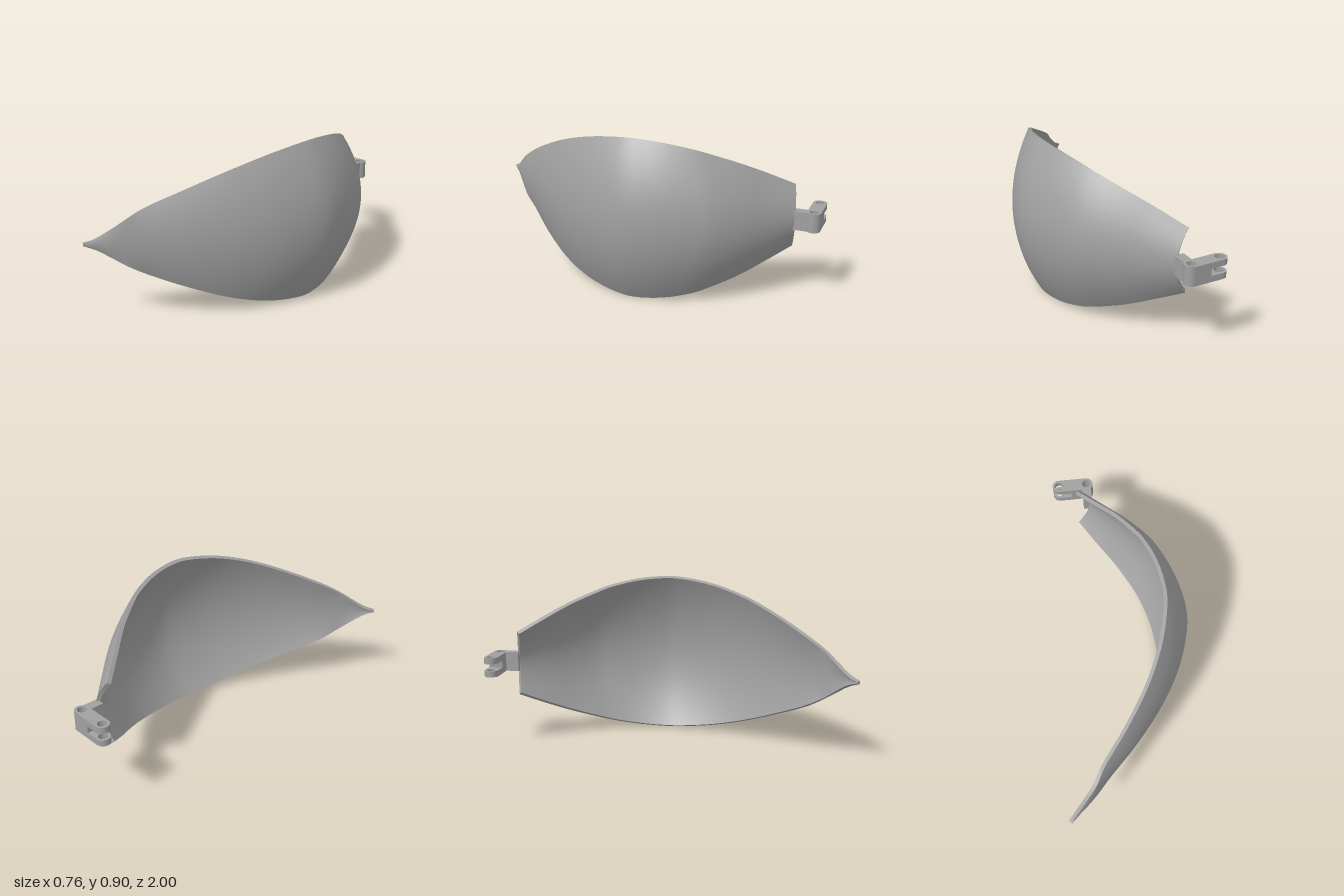
import * as THREE from 'three';

const MID = 0.4525;        // height of the mirror plane
const THICK = 0.021;       // shell wall
const NU = 90, NV = 40;

// stations from tip to hinge end: edge z, edge x, half height, ridge z, ridge x
const STATIONS = [
  [1, -0.365, 0.008, 1, -0.364],
  [0.95, -0.32, 0.034, 0.95, -0.31],
  [0.9, -0.27, 0.076, 0.9, -0.255],
  [0.84, -0.215, 0.127, 0.84, -0.2],
  [0.76, -0.165, 0.182, 0.76, -0.125],
  [0.6, -0.035, 0.27, 0.6, 0.03],
  [0.4, 0.1, 0.36, 0.4, 0.19],
  [0.2, 0.19, 0.42, 0.2, 0.305],
  [0, 0.237, 0.45, 0, 0.37],
  [-0.1, 0.238, 0.451, -0.1, 0.378],
  [-0.25, 0.213, 0.435, -0.25, 0.353],
  [-0.4, 0.16, 0.4, -0.4, 0.302],
  [-0.48, 0.115, 0.37, -0.5, 0.255],
  [-0.6, 0.036, 0.318, -0.62, 0.16],
  [-0.72, -0.063, 0.252, -0.745, 0.037],
  [-0.845, -0.165, 0.178, -0.87, -0.088],
];

function grid(positions, flip) {
  const index = [];
  for (let i = 0; i < NU; i++) {
    for (let j = 0; j < NV; j++) {
      const a = i * (NV + 1) + j, b = a + NV + 1;
      if (flip) index.push(a, b + 1, b, a, a + 1, b + 1);
      else index.push(a, b, b + 1, a, b + 1, a + 1);
    }
  }
  const geo = new THREE.BufferGeometry();
  geo.setAttribute('position', new THREE.Float32BufferAttribute(positions, 3));
  geo.setIndex(index);
  geo.computeVertexNormals();
  return geo;
}

function buildShell(material) {
  const edge = new THREE.CatmullRomCurve3(STATIONS.map(s => new THREE.Vector3(s[1], s[2], s[0])));
  const ridge = new THREE.CatmullRomCurve3(STATIONS.map(s => new THREE.Vector3(s[4], 0, s[3])));

  // outer skin: a bowed section at every station
  const outer = [];
  for (let i = 0; i <= NU; i++) {
    const e = edge.getPoint(i / NU), r = ridge.getPoint(i / NU);
    for (let j = 0; j <= NV; j++) {
      const s = (2 * j) / NV - 1, k = s * s;
      outer.push(r.x + (e.x - r.x) * k, MID + e.y * s, r.z + (e.z - r.z) * k);
    }
  }
  const outerGeo = grid(outer, false);

  // inner skin: offset along the normals
  const n = outerGeo.attributes.normal.array;
  const inner = outer.map((p, i) => p - n[i] * THICK);
  const innerGeo = grid(inner, true);

  // rim: walk around the border and join both skins
  const loop = [];
  const id = (i, j) => i * (NV + 1) + j;
  for (let i = 0; i < NU; i++) loop.push(id(i, 0));
  for (let j = 0; j < NV; j++) loop.push(id(NU, j));
  for (let i = NU; i > 0; i--) loop.push(id(i, NV));
  for (let j = NV; j > 0; j--) loop.push(id(0, j));
  const rim = [];
  const o = k => outer.slice(3 * k, 3 * k + 3), q = k => inner.slice(3 * k, 3 * k + 3);
  loop.forEach((a, i) => {
    const b = loop[(i + 1) % loop.length];
    rim.push(...q(a), ...q(b), ...o(b), ...q(a), ...o(b), ...o(a));
  });
  const rimGeo = new THREE.BufferGeometry();
  rimGeo.setAttribute('position', new THREE.Float32BufferAttribute(rim, 3));
  rimGeo.computeVertexNormals();

  const shell = new THREE.Group();
  shell.name = 'shell';
  for (const [name, geo] of [['outerSkin', outerGeo], ['innerSkin', innerGeo], ['rim', rimGeo]]) {
    const mesh = new THREE.Mesh(geo, material);
    mesh.name = name;
    shell.add(mesh);
  }
  return shell;
}

// plate with one round end and a pin hole, lying flat between two heights
function lug(name, xFlat, xPin, y0, y1, material) {
  const c = 0.9625, r = 0.0375, right = xPin > xFlat;
  const shape = new THREE.Shape();
  const dir = right ? 1 : -1;
  shape.moveTo(xFlat, c - dir * r);
  shape.lineTo(xPin, c - dir * r);
  shape.absarc(xPin, c, r, -dir * Math.PI / 2, dir * Math.PI / 2 + (right ? 0 : 2 * Math.PI), false);
  shape.lineTo(xFlat, c + dir * r);
  shape.closePath();
  const hole = new THREE.Path();
  hole.absarc(xPin, c, 0.024, 0, Math.PI * 2, true);
  shape.holes.push(hole);
  const geo = new THREE.ExtrudeGeometry(shape, { depth: y1 - y0, bevelEnabled: false, curveSegments: 24 });
  geo.rotateX(-Math.PI / 2);
  geo.translate(0, y0, 0);
  const mesh = new THREE.Mesh(geo, material);
  mesh.name = name;
  return mesh;
}

export function createModel() {
  const gray = new THREE.MeshStandardMaterial({ color: 0xa0a0a0 });
  gray.name = 'gray';
  const model = new THREE.Group();
  model.name = 'curvedShellWithHinge';
  model.add(buildShell(gray));

  // hinge: solid knuckle, two prongs and the arm to the shell
  const hinge = new THREE.Group();
  hinge.name = 'hinge';
  const y0 = 0.4, y1 = 0.505, prong = 0.033;
  hinge.add(lug('knuckle', -0.2, -0.108, y0, y1, gray));
  hinge.add(lug('lowerProng', -0.2, -0.27, y0, y0 + prong, gray));
  hinge.add(lug('upperProng', -0.2, -0.27, y1 - prong, y1, gray));
  const arm = new THREE.Mesh(new THREE.BoxGeometry(0.052, y1 - y0, 0.085), gray);
  arm.name = 'arm';
  arm.position.set(-0.109, (y0 + y1) / 2, -0.8975);
  hinge.add(arm);
  model.add(hinge);
  return model;
}
